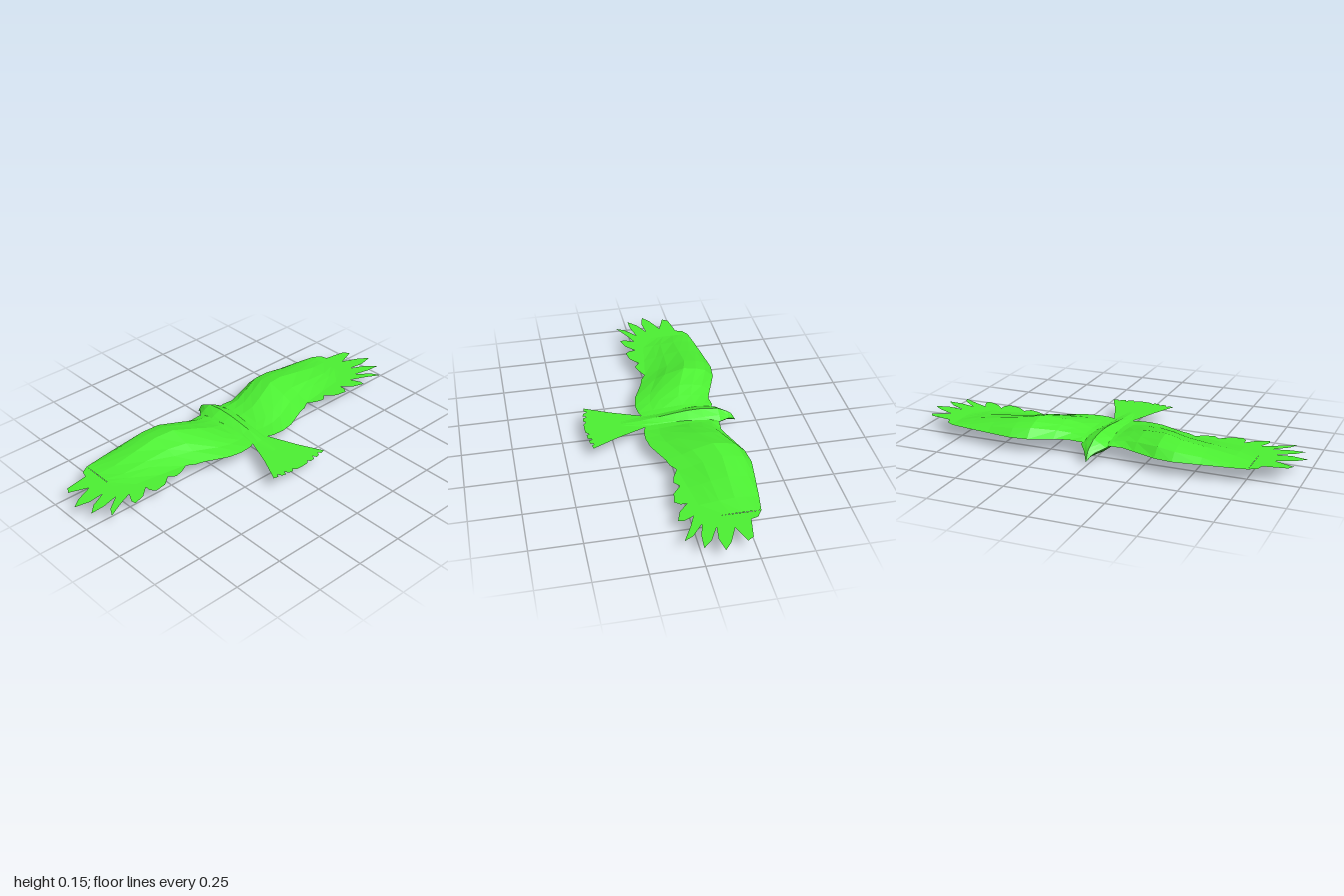
import * as THREE from 'three';

const BASE = 0.076; // height of the flat feather plane

const green = new THREE.MeshStandardMaterial({ color: 0x4cf032, flatShading: true, side: THREE.DoubleSide });

function mesh(name, geometry) {
  const m = new THREE.Mesh(geometry, green);
  m.name = name;
  return m;
}

// Skin a list of cross-sections, each with the same number of [x, y, z] points
function loft(sections) {
  const n = sections[0].length, index = [];
  for (let i = 0; i < sections.length - 1; i++) {
    for (let j = 0; j < n - 1; j++) {
      const a = i * n + j, b = a + n;
      index.push(a, a + 1, b, b, a + 1, b + 1);
    }
  }
  const g = new THREE.BufferGeometry();
  g.setAttribute('position', new THREE.Float32BufferAttribute(sections.flat(2), 3));
  g.setIndex(index);
  g.computeVertexNormals();
  return g;
}

// Flat feather sheet from an [x, z] outline
function sheet(outline) {
  const shape = new THREE.Shape(outline.map(([x, z]) => new THREE.Vector2(x, z)));
  return new THREE.ShapeGeometry(shape).rotateX(Math.PI / 2).translate(0, BASE, 0);
}

// Wing stations: x, leading z, trailing z, arch height
const stations = [
  [0.04, -0.27, 0.085, 0.012],
  [0.08, -0.285, 0.1, 0.017],
  [0.14, -0.28, 0.105, 0.034],
  [0.21, -0.305, 0.093, 0.052],
  [0.33, -0.35, 0.04, 0.071],
  [0.42, -0.36, 0.0, 0.058],
  [0.55, -0.343, -0.02, 0.037],
  [0.68, -0.325, -0.04, 0.016],
  [0.77, -0.31, -0.1, 0.002],
];
// Arch across the chord: fraction from leading edge, fraction of height
const arch = [[0, 0], [0.11, 0.62], [0.24, 0.85], [0.41, 1], [0.67, 0.62], [0.8, 0.33], [1, 0]];

// Notched outline of the flight feathers, from trailing edge round to the wing tip
const feathers = [
  [0.33, 0.04], [0.37, 0.03], [0.41, 0.005], [0.46, 0.03], [0.5, 0.04], [0.53, 0.015],
  [0.58, 0.055], [0.64, 0.065], [0.66, 0.04], [0.66, 0.01], [0.71, 0.055], [0.77, 0.075],
  [0.775, 0.05], [0.75, 0.0], [0.82, 0.03], [0.905, 0.075], [0.88, 0.03], [0.81, -0.025],
  [0.89, -0.005], [0.965, 0.0], [0.92, -0.045], [0.84, -0.085], [0.92, -0.075], [0.995, -0.09],
  [0.95, -0.125], [0.86, -0.165], [0.955, -0.2], [0.935, -0.23], [0.82, -0.25],
  [0.81, -0.285], [0.77, -0.31],
];

function createWing(name) {
  const wing = new THREE.Group();
  wing.name = name;
  wing.add(mesh('wingArch', loft(stations.map(([x, lead, trail, h]) =>
    arch.map(([t, k]) => [x, BASE + h * k, lead + (trail - lead) * t])))));
  const inner = stations.slice(5).reverse().map(([x, , trail]) => [x, trail]);
  wing.add(mesh('flightFeathers', sheet([...feathers, ...inner])));
  return wing;
}

// Body sections from beak to rump: z, half width, side y, top y, bottom y
function createBody() {
  const rows = [
    [-0.388, 0.001, 0.023, 0.024, 0.022],
    [-0.365, 0.016, 0.046, 0.066, 0.028],
    [-0.345, 0.028, 0.056, 0.08, 0.033],
    [-0.295, 0.065, 0.07, 0.105, 0.026],
    [-0.21, 0.085, 0.076, 0.115, 0.01],
    [-0.135, 0.085, 0.072, 0.113, 0.001],
    [-0.07, 0.078, 0.07, 0.106, 0.01],
    [0.0, 0.065, 0.072, 0.096, 0.037],
    [0.1, 0.045, 0.075, 0.083, 0.056],
    [0.2, 0.02, 0.076, 0.077, 0.074],
  ];
  return mesh('body', loft(rows.map(([z, w, side, top, bottom]) => {
    const half = [
      [0, top], [0.55 * w, top + (side - top) * 0.5], [w, side],
      [0.62 * w, side + (bottom - side) * 0.5], [0.22 * w, side + (bottom - side) * 0.9], [0, bottom],
    ];
    const other = half.slice(0, -1).reverse().map(([x, y]) => [-x, y]);
    return [...half, ...other].map(([x, y]) => [x, y, z]);
  })));
}

// Fanned tail with a scalloped end
function createTail() {
  const half = [[0.04, 0.06], [0.055, 0.1], [0.11, 0.24], [0.17, 0.365], [0.145, 0.37], [0.135, 0.355],
    [0.125, 0.375], [0.105, 0.38], [0.095, 0.36], [0.085, 0.382], [0.06, 0.384], [0.05, 0.37],
    [0.035, 0.385], [0.01, 0.387]];
  return mesh('tail', sheet([...half, ...half.slice().reverse().map(([x, z]) => [-x, z])]));
}

export function createModel() {
  const bird = new THREE.Group();
  bird.name = 'soaringBird';
  const rightWing = createWing('rightWing');
  rightWing.scale.x = -1;
  bird.add(createBody(), createTail(), createWing('leftWing'), rightWing);
  return bird;
}
